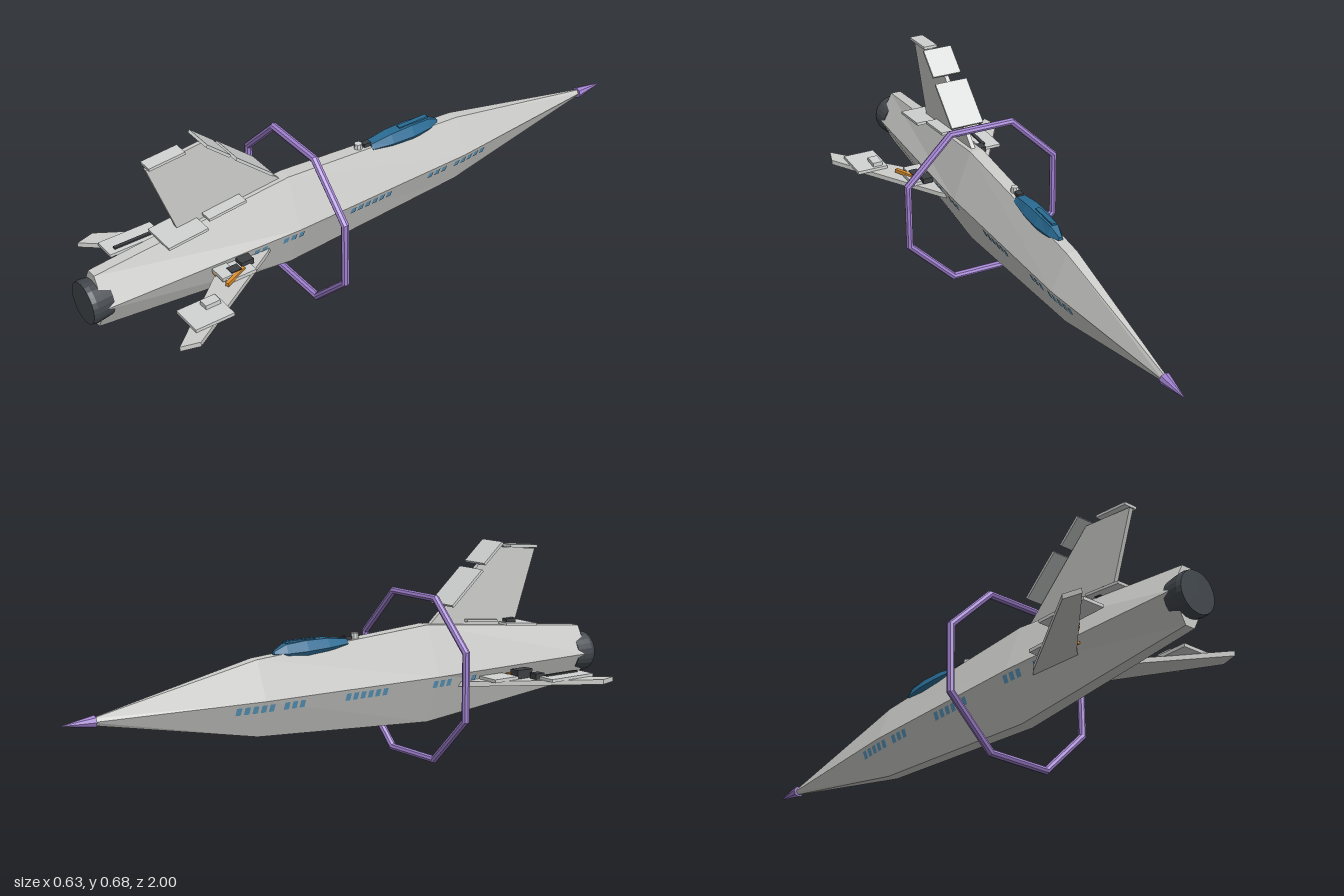
import * as THREE from 'three';

const mat = (name, color, extra = {}) => {
  const m = new THREE.MeshStandardMaterial({ color, flatShading: true, ...extra });
  m.name = name;
  return m;
};

export function createModel() {
  const group = new THREE.Group();
  const M = {
    hull: mat('hullGrey', 0xcdcdcb),
    plate: mat('plateGrey', 0xd2d3d3),
    dark: mat('darkGrey', 0x3c3f43),
    engine: mat('engineGrey', 0x43484d),
    purple: mat('purple', 0xa283d2),
    canopy: mat('canopyBlue', 0x2a6c94),
    glass: mat('windowBlue', 0x62a4cc, { side: THREE.DoubleSide }),
    orange: mat('orange', 0xdd9030),
  };
  const add = (name, geo, material, x = 0, y = 0, z = 0) => {
    const mesh = new THREE.Mesh(geo, material);
    mesh.name = name;
    mesh.position.set(x, y, z);
    group.add(mesh);
    return mesh;
  };
  // box given by its limits on each axis
  const box = (name, material, x0, x1, y0, y1, z0, z1) =>
    add(name, new THREE.BoxGeometry(x1 - x0, y1 - y0, z1 - z0), material,
      (x0 + x1) / 2, (y0 + y1) / 2, (z0 + z1) / 2);

  // skin over rings of points, counter-clockwise seen from +z, z rising
  const loft = (rings) => {
    const pos = [];
    const tri = (a, b, c) => pos.push(...a, ...b, ...c);
    const n = rings[0].length;
    for (let i = 0; i < rings.length - 1; i++) {
      const a = rings[i], b = rings[i + 1];
      for (let k = 0; k < n; k++) {
        const l = (k + 1) % n;
        tri(a[k], a[l], b[l]);
        tri(a[k], b[l], b[k]);
      }
    }
    const first = rings[0], last = rings[rings.length - 1];
    for (let k = 1; k < n - 1; k++) {
      tri(first[0], first[k + 1], first[k]);
      tri(last[0], last[k], last[k + 1]);
    }
    const g = new THREE.BufferGeometry();
    g.setAttribute('position', new THREE.Float32BufferAttribute(pos, 3));
    g.computeVertexNormals();
    return g;
  };
  // six-sided section: half width w at height mid, narrow flats above and below
  const hex = (z, top, mid, bot, w, t) => [
    [w, mid, z], [t, top, z], [-t, top, z], [-w, mid, z], [-t, bot, z], [t, bot, z]];

  // fuselage: z, top, bottom, half width
  const MID = 0.274, FLAT = 0.265;
  const stations = [
    [-0.9, 0.284, 0.264, 0.009], [-0.35, 0.394, 0.157, 0.066],
    [0.3, 0.435, 0.117, 0.083], [0.965, 0.367, 0.182, 0.065]];
  add('fuselage', loft(stations.map(([z, t, b, w]) => hex(z, t, MID, b, w, w * FLAT))), M.hull);

  // nose spike
  add('noseSpike', new THREE.ConeGeometry(0.019, 0.11, 8).rotateX(-Math.PI / 2), M.purple, 0, MID, -0.945);

  // engine nozzle with closed end
  const nozzle = [[0, 0], [0.062, 0], [0.066, 0.03], [0.069, 0.055], [0.066, 0.07], [0, 0.07]];
  add('engineNozzle', new THREE.LatheGeometry(nozzle.map(p => new THREE.Vector2(...p)), 24)
    .rotateX(Math.PI / 2), M.engine, 0, MID, 0.93);

  // eight-sided ring around the hull
  add('ring', new THREE.TorusGeometry(0.281, 0.0125, 8, 8).rotateZ(Math.PI / 8), M.purple, 0, MID, 0.262);

  // canopy: z, top, middle, bottom, half width, half flat
  add('canopy', loft([
    [-0.28, 0.408, 0.4, 0.385, 0.008, 0.005], [-0.24, 0.427, 0.4, 0.374, 0.024, 0.012],
    [-0.17, 0.433, 0.402, 0.374, 0.034, 0.017], [-0.09, 0.432, 0.405, 0.38, 0.033, 0.017],
    [-0.015, 0.422, 0.408, 0.39, 0.024, 0.014]].map(r => hex(...r))), M.canopy);
  box('canopyRail', M.canopy, -0.008, 0.008, 0.43, 0.436, -0.24, -0.13);
  box('sensorBase', M.dark, -0.01, 0.01, 0.41, 0.428, -0.018, 0.008);
  add('sensorDome', new THREE.CylinderGeometry(0.012, 0.014, 0.022, 8), M.plate, 0, 0.424, 0.025);

  // window rows lying on the lower hull sides: first z, count
  const hullX = (z, y) => {
    let i = 0;
    while (i < stations.length - 2 && z > stations[i + 1][0]) i++;
    const a = stations[i], b = stations[i + 1];
    const f = (z - a[0]) / (b[0] - a[0]);
    const bot = a[2] + (b[2] - a[2]) * f, w = a[3] + (b[3] - a[3]) * f;
    return w - w * (1 - FLAT) * (MID - y) / (MID - bot) + 0.002;
  };
  const windowPos = [];
  for (const [z0, count] of [[-0.445, 5], [-0.28, 3], [-0.055, 6], [0.283, 3], [0.415, 2]]) {
    for (let i = 0; i < count; i++) {
      const a = z0 + i * 0.028, b = a + 0.018;
      for (const s of [1, -1]) {
        const p = [[a, 0.238], [a, 0.262], [b, 0.262], [b, 0.238]].map(([z, y]) => [s * hullX(z, y), y, z]);
        const order = s > 0 ? [0, 1, 2, 0, 2, 3] : [0, 2, 1, 0, 3, 2];
        for (const k of order) windowPos.push(...p[k]);
      }
    }
  }
  const windows = new THREE.BufferGeometry();
  windows.setAttribute('position', new THREE.Float32BufferAttribute(windowPos, 3));
  windows.computeVertexNormals();
  add('windows', windows, M.glass);

  const plan = (pts, depth) => new THREE.ExtrudeGeometry(
    new THREE.Shape(pts.map(p => new THREE.Vector2(...p))), { depth, bevelEnabled: false });

  // swept wings
  for (const s of [1, -1]) {
    const pts = [[0.03, 0.36], [0.08, 0.42], [0.314, 0.8], [0.297, 0.86], [0.075, 0.6], [0.03, 0.56]];
    add(s > 0 ? 'leftWing' : 'rightWing',
      plan(pts.map(([x, z]) => [s * x, z]), 0.016).rotateX(Math.PI / 2), M.hull, 0, 0.244, 0);
  }

  // equipment on the left wing
  box('leftWingPlate', M.plate, 0.165, 0.272, 0.243, 0.254, 0.66, 0.79);
  box('leftWingBox', M.plate, 0.18, 0.213, 0.254, 0.268, 0.67, 0.72);
  box('leftRootPlate', M.plate, 0.06, 0.142, 0.243, 0.255, 0.5, 0.6);
  box('leftRootBox', M.plate, 0.07, 0.13, 0.25, 0.262, 0.56, 0.61);
  box('leftRootUnit', M.dark, 0.074, 0.108, 0.25, 0.268, 0.487, 0.53);
  box('leftSmallUnit', M.dark, 0.095, 0.125, 0.25, 0.265, 0.54, 0.575);
  add('leftPipe', new THREE.BoxGeometry(0.012, 0.012, 0.09), M.orange, 0.135, 0.256, 0.57).rotation.y = 0.43;

  // equipment on the right wing
  box('rightWingPlate', M.plate, -0.25, -0.175, 0.243, 0.253, 0.635, 0.815);
  box('rightWingStrip', M.dark, -0.202, -0.19, 0.25, 0.258, 0.656, 0.79);
  box('rightRootPlate', M.plate, -0.148, -0.07, 0.243, 0.254, 0.48, 0.577);
  box('rightOuterUnit', M.dark, -0.188, -0.158, 0.243, 0.263, 0.62, 0.656);
  box('rightInnerUnit', M.dark, -0.147, -0.112, 0.243, 0.273, 0.577, 0.64);
  add('rightPipe', new THREE.BoxGeometry(0.01, 0.01, 0.06), M.orange, -0.135, 0.248, 0.665).rotation.y = -0.6;
  for (const s of [1, -1]) box('rootConnector', M.orange, s * 0.08 - 0.008, s * 0.08 + 0.008, 0.244, 0.252, 0.59, 0.61);

  // tail fin
  add('tailFin', plan([[0.32, 0.43], [0.585, 0.665], [0.767, 0.645], [0.68, 0.4], [0.4, 0.4]], 0.014)
    .rotateY(-Math.PI / 2), M.hull, 0.007, 0, 0);

  // plates along the fin's leading edge and top
  const slanted = (name, x, y, z, w, len, angle) =>
    add(name, new THREE.BoxGeometry(w, 0.009, len), M.plate, x, y, z).rotation.x = angle;
  slanted('lowerFinPlate', -0.003, 0.545, 0.435, 0.112, 0.163, -0.715);
  slanted('upperFinPlate', 0.002, 0.648, 0.553, 0.098, 0.1, -0.715);
  slanted('finTopPlate', 0, 0.659, 0.705, 0.047, 0.12, 0.08);

  // plates and units on the spine
  slanted('spinePlate', 0.012, 0.402, 0.68, 0.118, 0.135, 0.1);
  slanted('spineForwardPlate', 0.012, 0.425, 0.53, 0.07, 0.13, 0.1);
  box('spineUnit', M.dark, -0.027, -0.007, 0.4, 0.422, 0.63, 0.67);

  return group;
}
